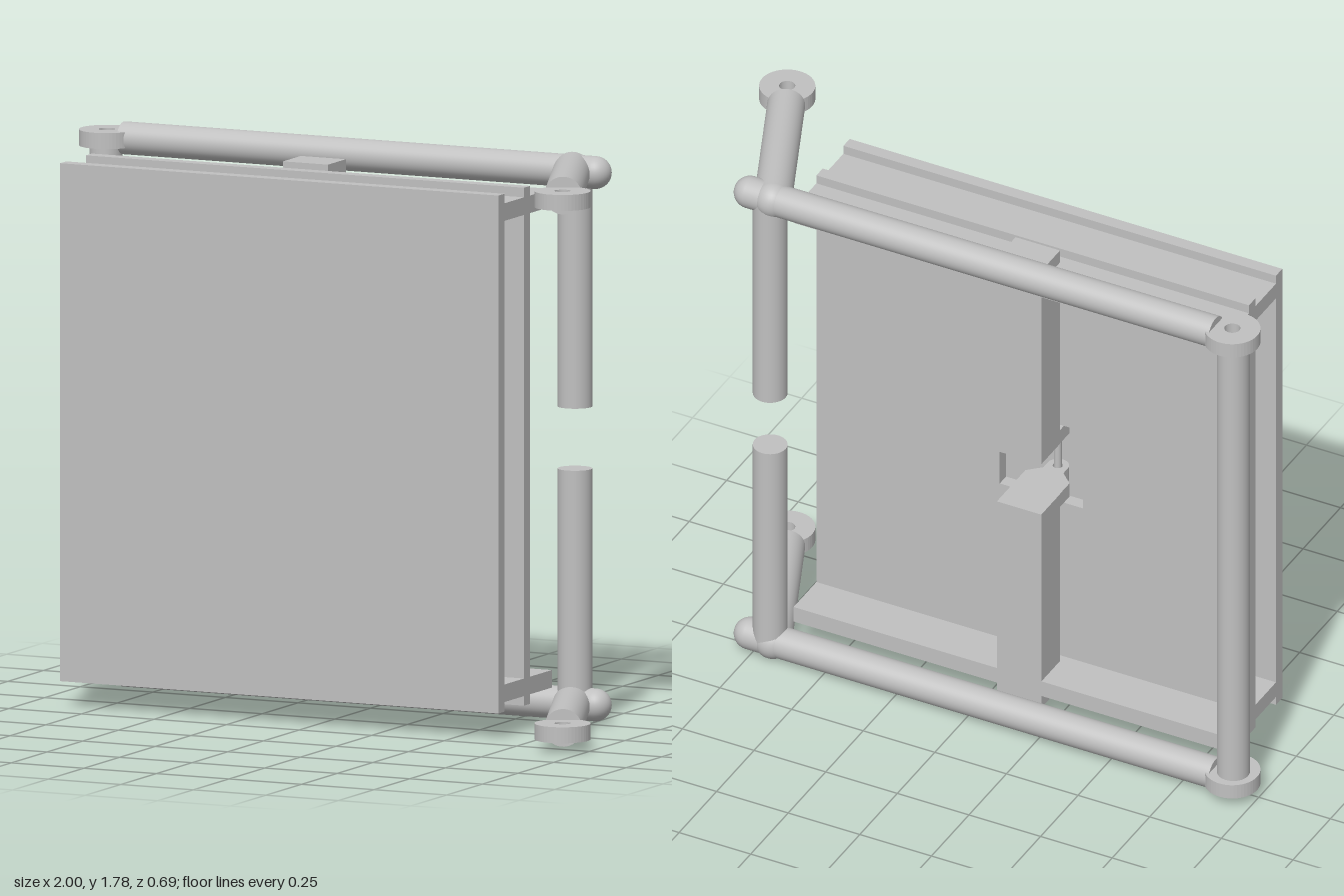
import * as THREE from 'three';

const grey = new THREE.MeshStandardMaterial({ color: 0xc0c0c0 });
grey.name = 'plain grey';

const MID = 0.895;           // height of the horizontal mirror plane
const ROD_Y = 0.8325;        // distance of the frame rods from that plane
const BACK = -0.27;          // depth of the frame rods
const X0 = -0.87, X1 = 0.64; // sides of the panel

export function createModel() {
  const model = new THREE.Group();
  model.name = 'panelAndFrame';

  function add(name, geometry, x = 0, y = 0, z = 0) {
    const mesh = new THREE.Mesh(geometry, grey);
    mesh.name = name;
    mesh.position.set(x, y, z);
    model.add(mesh);
    return mesh;
  }
  // box given by its limits
  function box(name, x0, x1, y0, y1, z0, z1) {
    return add(name, new THREE.BoxGeometry(x1 - x0, Math.abs(y1 - y0), z1 - z0),
      (x0 + x1) / 2, (y0 + y1) / 2, (z0 + z1) / 2);
  }
  // round rod between two points
  function rod(name, a, b, r) {
    const p = new THREE.Vector3(...a), q = new THREE.Vector3(...b);
    const d = q.clone().sub(p);
    const mesh = add(name, new THREE.CylinderGeometry(r, r, d.length(), 40));
    mesh.position.copy(p).add(q).multiplyScalar(0.5);
    mesh.quaternion.setFromUnitVectors(new THREE.Vector3(0, 1, 0), d.normalize());
  }
  const ball = (name, x, y, z, r) => add(name, new THREE.SphereGeometry(r, 32, 20), x, y, z);

  // horizontal plate cut from an x/z outline, centred on height y
  function flat(name, shape, x, y, z, thick) {
    const g = new THREE.ExtrudeGeometry(shape, { depth: thick, bevelEnabled: false, curveSegments: 24 });
    g.translate(0, 0, -thick / 2);
    g.rotateX(Math.PI / 2); // shape y becomes z
    add(name, g, x, y, z);
  }
  const hole = (r, y = 0) => new THREE.Path().absarc(0, y, r, 0, Math.PI * 2, true);

  const ring = new THREE.Shape().absarc(0, 0, 0.087, 0, Math.PI * 2, false);
  ring.holes.push(hole(0.025));

  // hinge lug: broad root with a narrower rounded tip
  const lug = new THREE.Shape();
  lug.moveTo(-0.077, -0.1);
  lug.lineTo(0.077, -0.1);
  lug.lineTo(0.077, -0.03);
  lug.lineTo(0.035, 0.01);
  lug.lineTo(0.035, 0.04);
  lug.absarc(0, 0.04, 0.035, 0, Math.PI, false);
  lug.lineTo(-0.035, 0.01);
  lug.lineTo(-0.077, -0.03);
  lug.closePath();
  lug.holes.push(hole(0.016, 0.04));

  // front plate and inner plate with a window behind the hinge
  box('frontPlate', X0, X1, 0.085, 1.705, 0.113, 0.155);
  const plate = new THREE.Shape();
  plate.moveTo(X0, 0.085);
  plate.lineTo(X1, 0.085);
  plate.lineTo(X1, 1.705);
  plate.lineTo(X0, 1.705);
  plate.closePath();
  const opening = new THREE.Path();
  opening.moveTo(-0.29, 0.75);
  opening.lineTo(-0.29, 1.04);
  opening.lineTo(0, 1.04);
  opening.lineTo(0, 0.75);
  opening.closePath();
  plate.holes.push(opening);
  add('innerPlate', new THREE.ExtrudeGeometry(plate, { depth: 0.042, bevelEnabled: false }), 0, 0, -0.067);

  // parts repeated at the top and bottom
  for (const s of [1, -1]) {
    const y = MID + s * ROD_Y;
    box('rail', X0, X1, MID + s * 0.725, MID + s * 0.78, -0.219, 0.114);
    box('hingePost', -0.225, -0.07, MID + s * 0.095, MID + s * 0.825, -0.22, -0.095);
    flat('hingeLug', lug, -0.147, MID + s * 0.12, 0, 0.05);

    rod('backRod', [-0.86, y, BACK], [0.765, y, BACK], 0.051);
    ball('rodEnd', 0.765, y, BACK, 0.051);
    rod('arm', [0.685, y, BACK], [0.885, y, 0.2], 0.059);
    ball('elbow', 0.685, y, BACK, 0.059);
    rod('splitPost', [0.695, MID + s * 0.097, BACK], [0.695, y, BACK], 0.054);

    flat('backRing', ring, -0.913, y, -0.26, 0.05);
    flat('armRing', ring, 0.913, y, 0.26, 0.05);
  }

  // full height post and hinge pin
  rod('sidePost', [-0.922, MID - 0.808, BACK], [-0.922, MID + 0.808, BACK], 0.051);
  rod('hingePin', [-0.147, MID - 0.15, 0.04], [-0.147, MID + 0.15, 0.04], 0.012);

  return model;
}
